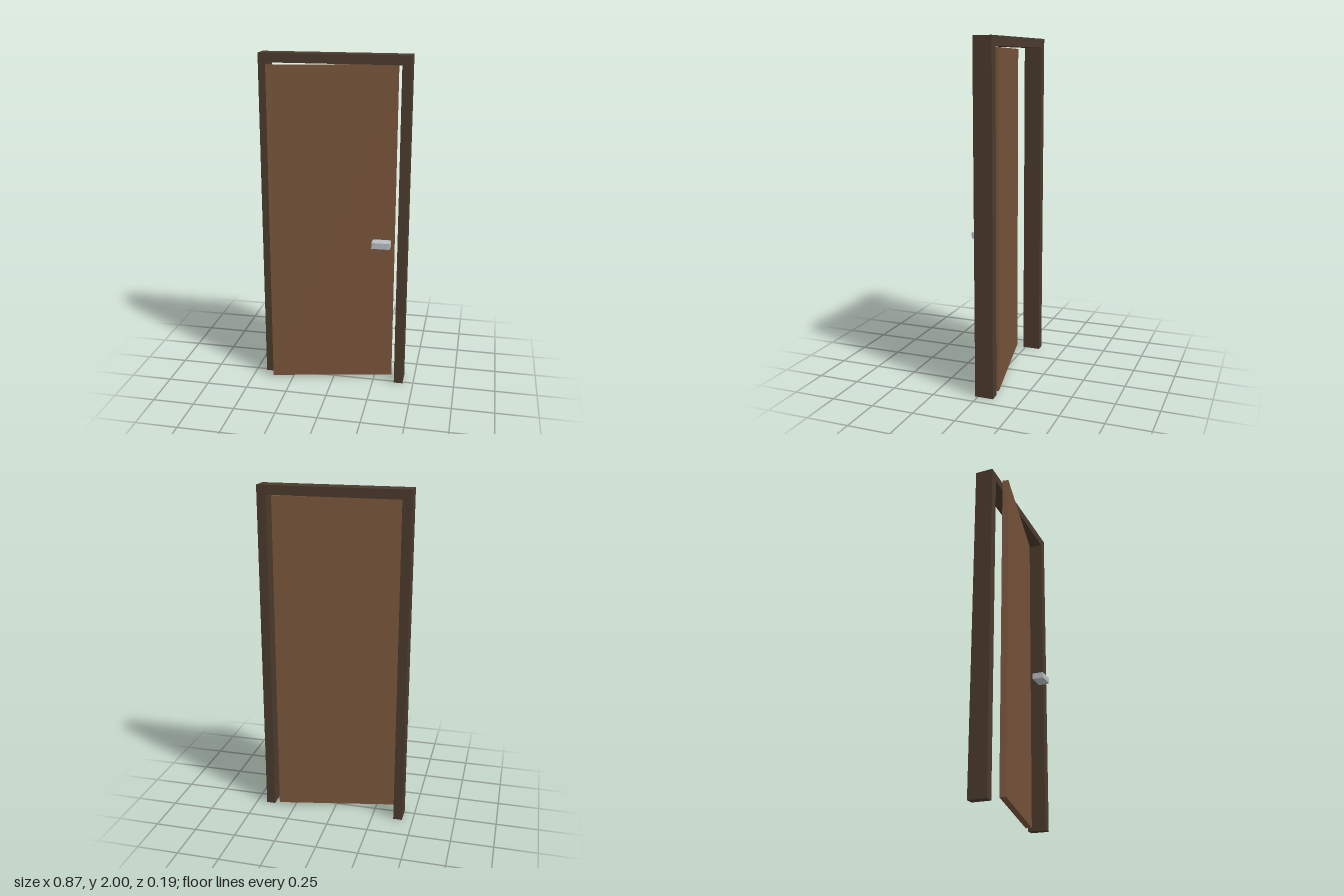
import * as THREE from 'three';

const material = (name, color) => {
  const m = new THREE.MeshStandardMaterial({ color });
  m.name = name;
  return m;
};

export function createModel() {
  const darkWood = material('dark wood', 0x4b3a2c);
  const brownWood = material('brown wood', 0x765339);
  const metal = material('brushed metal', 0xb8bec4);

  const model = new THREE.Group();
  model.name = 'door';

  const box = (name, mat, [w, h, d], [x, y, z]) => {
    const mesh = new THREE.Mesh(new THREE.BoxGeometry(w, h, d), mat);
    mesh.name = name;
    mesh.position.set(x, y, z);
    model.add(mesh);
    return mesh;
  };

  // Frame: two posts joined by a lintel
  const width = 0.872, bar = 0.054, depth = 0.108, frameZ = -0.038;
  for (const side of [-1, 1]) {
    box(side < 0 ? 'rightPost' : 'leftPost', darkWood,
      [bar, 2 - bar, depth], [side * (width - bar) / 2, (2 - bar) / 2, frameZ]);
  }
  box('lintel', darkWood, [width, bar, depth], [0, 2 - bar / 2, frameZ]);

  // Door leaf standing ajar
  const leaf = box('doorLeaf', brownWood, [0.744, 1.927, 0.036], [-0.0105, 0.9765, -0.001]);
  leaf.rotation.y = 0.206;

  // Handle block, square to the frame
  box('handle', metal, [0.108, 0.036, 0.068], [0.289, 0.912, 0.035]);

  return model;
}
